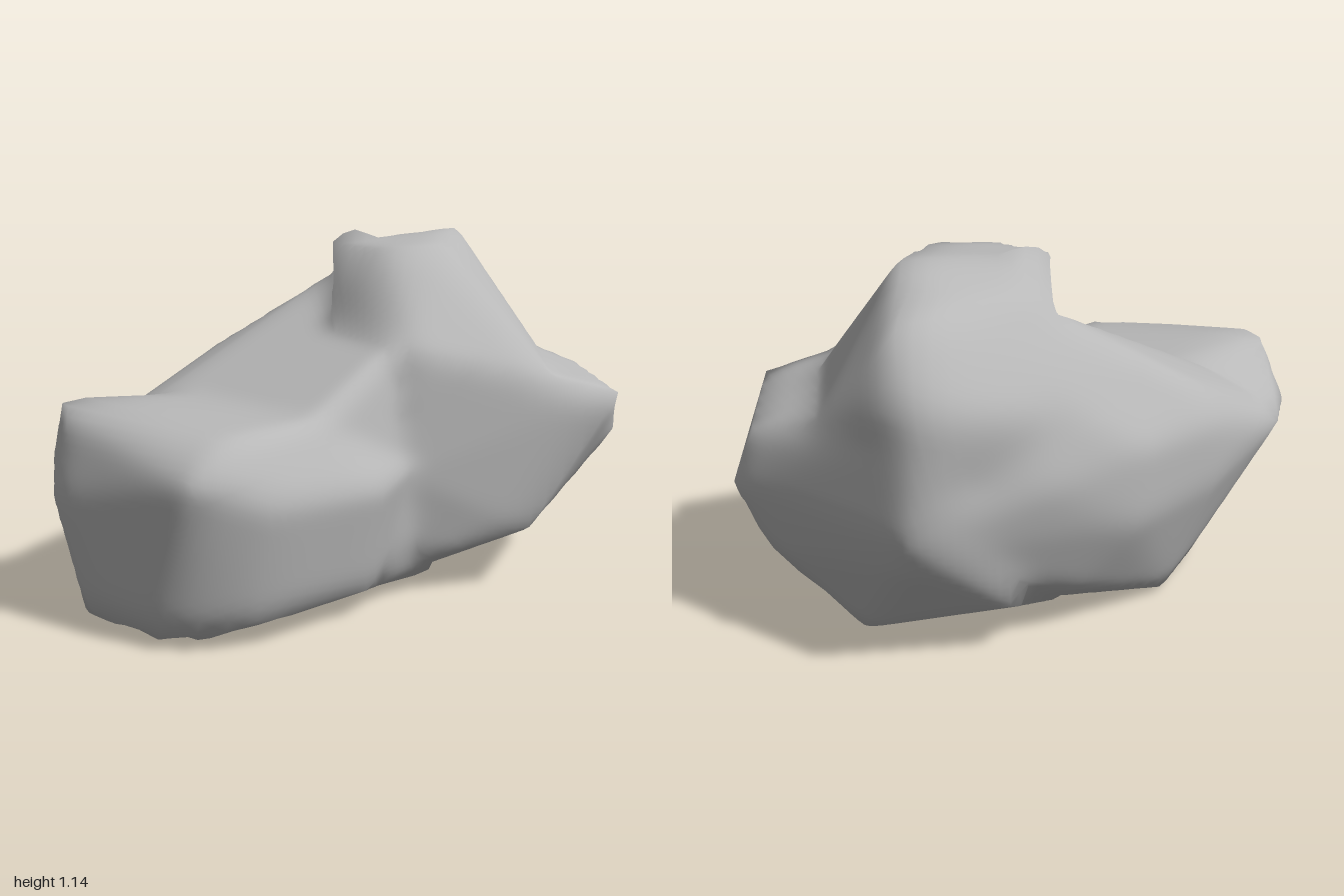
import * as THREE from 'three';
import { mergeVertices } from 'three/addons/utils/BufferGeometryUtils.js';
import { ConvexGeometry } from 'three/addons/geometries/ConvexGeometry.js';

// Key corners of the overlapping lumps that make up the boulder
const lowLump = [
  [-1, 0.39, -0.12], [-0.93, 0.64, -0.14], [-0.89, 0.65, -0.26], [-0.86, 0.45, -0.4], [-0.51, 0.63, -0.25],
  [-0.66, 0.45, -0.53], [-0.85, 0.5, 0.41], [-0.7, 0.6, 0.38], [-0.64, 0.42, 0.485], [-0.23, 0.4, 0.46],
  [-0.4, 0.61, 0.36], [-0.95, 0.05, 0], [-0.92, 0.03, -0.1], [-0.88, 0.03, 0.25], [-0.8, 0.03, 0.33],
  [-0.64, 0.07, 0.42], [-0.23, 0.08, 0.4], [-0.6, 0.02, -0.27], [0.05, 0.02, 0.2], [0.1, 0.45, 0.3],
];
const bridge = [
  [-0.51, 0.63, -0.3], [-0.05, 0.82, -0.25], [-0.07, 0.78, 0.29], [-0.4, 0.61, 0.36], [-0.66, 0.45, -0.53],
  [-0.75, 0.48, -0.42], [-0.15, 0.72, -0.57], [-0.2, 0.6, -0.64], [-0.2, 0.4, -0.64], [0.15, 0.6, -0.645],
  [0.17, 0.37, -0.645], [0.46, 0.55, -0.58], [0.3, 1, -0.38], [0.6, 0.95, -0.43], [0.86, 0.43, -0.42],
  [-0.1, 0.02, -0.52], [-0.35, 0.02, -0.42], [-0.6, 0.02, -0.25], [-0.5, 0.02, 0.1], [0.3, 0.16, -0.52],
  [0.4, 0.02, -0.2], [0.2, 0.3, 0.36], [0.1, 0.05, 0.3], [-0.3, 0.05, 0.34],
];
const tallTop = [
  [0.07, 1.09, -0.2], [0.06, 1.08, 0.08], [0.25, 1.09, 0.18], [0.59, 1.14, -0.1], [0.8, 1.04, -0.37],
  [0.83, 0.83, -0.49], [0.46, 0.75, -0.55], [0.22, 1.05, -0.35], [0.91, 0.7, -0.09], [0.88, 0.83, -0.38],
  [0.6, 0.68, 0.36], [0.4, 0.69, 0.54], [-0.05, 0.8, 0.02], [-0.04, 0.78, 0.34], [0, 0.5, 0.34],
  [0.5, 0.4, -0.5],
];
const tallBase = [
  [0.91, 0.7, -0.09], [0.95, 0.65, 0.16], [1, 0.48, 0.2], [0.94, 0.28, 0.12], [0.82, 0.45, 0.45],
  [0.6, 0.63, 0.65], [0.4, 0.69, 0.54], [0.33, 0.2, 0.52], [0.64, 0, 0], [0.76, 0.03, -0.1],
  [0.83, 0.35, -0.39], [0.85, 0.47, -0.46], [0.83, 0.83, -0.49], [0.5, 0.17, -0.5], [0, 0.02, 0.2],
  [-0.04, 0.75, 0.34], [-0.06, 0.4, 0.35], [0.2, 0.02, -0.35], [0.05, 0.12, 0.36],
];
const crest = [
  [0.2, 1.15, -0.19], [0.08, 1.09, -0.22], [0.27, 1.09, -0.12], [0.28, 1.07, -0.3], [0.2, 0.9, -0.15],
];

// Wraps one continuous skin around all lumps by casting rays from the core
function wrapLumps(lumps, core, detail) {
  const hulls = lumps.map((pts) => new THREE.Mesh(
    new ConvexGeometry(pts.map((p) => new THREE.Vector3(...p))),
    new THREE.MeshBasicMaterial({ side: THREE.DoubleSide }),
  ));
  let geo = new THREE.IcosahedronGeometry(1, detail);
  geo.deleteAttribute('uv');
  geo.deleteAttribute('normal');
  geo = mergeVertices(geo, 1e-4);
  const pos = geo.attributes.position;
  const ray = new THREE.Raycaster();
  const v = new THREE.Vector3();
  const spread = new THREE.Vector3(1, 0.62, 0.68);
  for (let i = 0; i < pos.count; i++) {
    v.fromBufferAttribute(pos, i).multiply(spread).normalize();
    ray.set(core, v);
    const hits = ray.intersectObjects(hulls, false);
    v.multiplyScalar(hits[hits.length - 1].distance).add(core);
    pos.setXYZ(i, v.x, v.y, v.z);
  }
  geo.computeVertexNormals();
  return geo;
}

// Blends neighbouring normals so the facets melt into each other
function softenNormals(geo, passes) {
  const index = geo.index.array;
  const nor = geo.attributes.normal;
  const n = new THREE.Vector3();
  for (let p = 0; p < passes; p++) {
    const sum = Array.from({ length: nor.count }, () => new THREE.Vector3());
    for (let i = 0; i < index.length; i += 3) {
      for (let a = 0; a < 3; a++) {
        for (let b = 0; b < 3; b++) sum[index[i + a]].add(n.fromBufferAttribute(nor, index[i + b]));
      }
    }
    sum.forEach((s, i) => { s.normalize(); nor.setXYZ(i, s.x, s.y, s.z); });
  }
}

export function createModel() {
  const stone = new THREE.MeshStandardMaterial({ color: 0xb8b8b8 });
  stone.name = 'stoneGrey';

  const lumps = [lowLump, bridge, tallTop, tallBase, crest];
  const geo = wrapLumps(lumps, new THREE.Vector3(0.1, 0.42, 0), 28);
  softenNormals(geo, 6);

  const boulder = new THREE.Mesh(geo, stone);
  boulder.name = 'boulder';
  const group = new THREE.Group();
  group.name = 'rock';
  group.add(boulder);
  return group;
}
